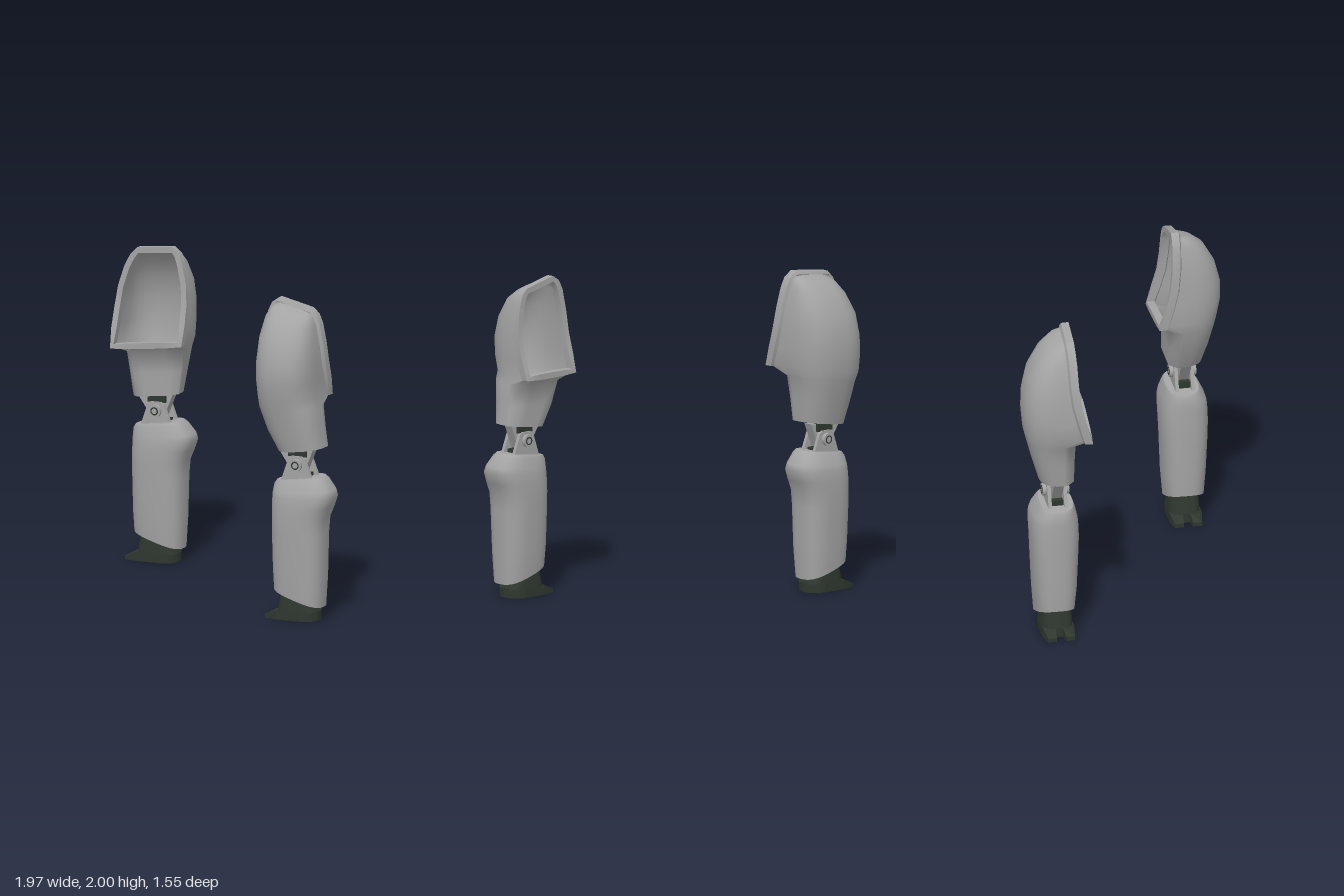
import * as THREE from 'three';
import { toCreasedNormals } from 'three/addons/utils/BufferGeometryUtils.js';

const armour = new THREE.MeshStandardMaterial({ color: 0xa4a4a4, side: THREE.DoubleSide });
armour.name = 'grey armour';
const dark = new THREE.MeshStandardMaterial({ color: 0x2f372f });
dark.name = 'dark green rubber';

function add(group, name, geometry, material, x = 0, y = 0, z = 0) {
  const mesh = new THREE.Mesh(geometry, material);
  mesh.name = name;
  mesh.position.set(x, y, z);
  group.add(mesh);
  return mesh;
}

// Skin closed rings of [x, y, z]; side = -1 mirrors in z, skip() leaves faces out.
function loft(rings, side, { skip = () => false, caps = true, closed = false } = {}) {
  const n = rings[0].length, pos = [], idx = [];
  const put = (p) => pos.push(p[0], p[1], p[2] * side) / 3 - 1;
  const tri = (a, b, c) => (side > 0 ? idx.push(a, b, c) : idx.push(a, c, b));
  rings.forEach((r) => r.forEach(put));
  const rows = closed ? rings.length : rings.length - 1;
  for (let j = 0; j < rows; j++) {
    const k = (j + 1) % rings.length;
    for (let i = 0; i < n; i++) {
      if (skip(j, i)) continue;
      const i2 = (i + 1) % n;
      tri(j * n + i, k * n + i, j * n + i2);
      tri(k * n + i, k * n + i2, j * n + i2);
    }
  }
  if (caps) {
    [rings[0], rings[rings.length - 1]].forEach((ring, end) => {
      const mid = [0, 1, 2].map((a) => ring.reduce((s, p) => s + p[a], 0) / n);
      const c = put(mid), ids = ring.map(put);
      ids.forEach((id, i) => {
        const next = ids[(i + 1) % n];
        if (end) tri(c, next, id); else tri(c, id, next);
      });
    });
  }
  const g = new THREE.BufferGeometry();
  g.setAttribute('position', new THREE.Float32BufferAttribute(pos, 3));
  g.setIndex(idx);
  g.computeVertexNormals();
  return g;
}

const spow = (v, e) => Math.sign(v) * Math.abs(v) ** e;

// Thigh: rows of [y, x0, x1, zInner, zOuter, slope]; open on the inner side above the lip.
function thigh(group, rows, side, skew) {
  const LIP = 3;
  const rings = rows.map(([y, x0, x1, zi, zo, slope], j) => {
    const cx = (x0 + x1) / 2, hx = (x1 - x0) / 2, zm = zi + (zo - zi) * 0.35;
    const c = j < LIP ? 0.045 : 0.001, pts = [];
    for (let i = 0; i <= 16; i++) {
      const t = (i / 16) * Math.PI;
      pts.push([cx + hx * spow(Math.cos(t), 0.8), zm + (zo - zm) * spow(Math.sin(t), 0.8)]);
    }
    pts.push([x0, (zm + zi + c) / 2], [x0, Math.min(zi + c, zm)]);
    for (let i = 0; i <= 4; i++) pts.push([x0 + c + ((x1 - x0 - 2 * c) * i) / 4, zi]);
    pts.push([x1, Math.min(zi + c, zm)], [x1, (zm + zi + c) / 2]);
    return pts.map(([x, z]) => [x, y + slope * (x - cx), z + skew * (x - cx)]);
  });
  add(group, 'thighShell', loft(rings, side, { skip: (j, i) => j >= LIP && i >= 18 && i < 24 }), armour);

  // Raised rim around the opening
  const upper = rings.slice(LIP);
  const path = [
    ...upper.map((r) => r[18]),
    ...upper.map((r) => r[24]).reverse(),
    rings[LIP][22], rings[LIP][21], rings[LIP][20],
  ];
  const mx = path.reduce((s, p) => s + p[0], 0) / path.length;
  const profile = [[0, 0.055], [0.02, 0.045], [0.022, -0.004], [-0.014, -0.004], [-0.014, 0.045]];
  const rim = path.map((p, i) => {
    // outward direction is square to the path
    const a = path[(i + path.length - 1) % path.length], b = path[(i + 1) % path.length];
    let ox = -(b[1] - a[1]), oy = b[0] - a[0];
    const l = Math.hypot(ox, oy) || 1;
    ox /= l; oy /= l;
    return profile.map(([o, dz]) => [p[0] + ox * o, p[1] + oy * o, p[2] + dz]);
  });
  const g = loft(rim, side, { caps: false, closed: true });
  add(group, 'thighRim', toCreasedNormals(g, 0.6), armour);
}

// Shin: rows of [y, x0, x1, z0, z1, slope], with the knee swelling toward +x
const shinRows = [
  [0.138, 0.587, 0.905, 0.447, 0.687, -0.32],
  [0.3, 0.581, 0.915, 0.432, 0.7, -0.12],
  [0.55, 0.577, 0.92, 0.422, 0.712, 0],
  [0.65, 0.577, 0.928, 0.418, 0.715, 0],
  [0.72, 0.577, 0.958, 0.418, 0.715, 0],
  [0.78, 0.578, 0.982, 0.422, 0.711, 0.03],
  [0.815, 0.579, 0.972, 0.43, 0.7, 0.06],
  [0.87, 0.584, 0.925, 0.445, 0.672, 0.13],
  [0.89, 0.597, 0.9, 0.455, 0.657, 0.14],
];
function shin(group, side, dx, sy) {
  const rings = shinRows.map(([y, x0, x1, z0, z1, slope]) => {
    const cx = (x0 + x1) / 2, cz = (z0 + z1) / 2;
    return Array.from({ length: 36 }, (_, i) => {
      const t = (i / 36) * Math.PI * 2;
      const x = cx + ((x1 - x0) / 2) * spow(Math.cos(t), 0.75);
      return [x + dx, (y + slope * (x - cx)) * sy, cz + ((z1 - z0) / 2) * spow(Math.sin(t), 0.75)];
    });
  });
  add(group, 'shinShell', loft(rings, side), armour);
}

// Flat plate from [x, y] corners, centred in z
function plate(points, depth) {
  const shape = new THREE.Shape(points.map(([x, y]) => new THREE.Vector2(x, y)));
  return new THREE.ExtrudeGeometry(shape, { depth, bevelEnabled: false }).translate(0, 0, -depth / 2);
}

function knee(group, side, x, y) {
  const joint = new THREE.Group();
  joint.name = 'kneeJoint';
  joint.position.set(x, y, 0.56 * side);
  group.add(joint);
  const lower = plate([[-0.11, -0.12], [0.11, -0.1], [0.055, 0.04], [0.035, 0.055], [-0.035, 0.055], [-0.055, 0.04]], 0.022);
  for (const s of [-1, 1]) {
    add(joint, 'lowerBracket', lower, armour, 0, 0, s * 0.05);
    const bolt = add(joint, 'bolt', new THREE.CylinderGeometry(0.04, 0.04, 0.022, 16), armour, 0, 0, s * 0.072);
    bolt.rotation.x = Math.PI / 2;
    add(joint, 'boltRing', new THREE.TorusGeometry(0.022, 0.004, 6, 16), dark, 0, 0, s * 0.083);
  }
  add(joint, 'upperTongue', plate([[-0.04, -0.05], [0.04, -0.05], [0.1, 0.1], [-0.13, 0.08]], 0.064), armour);
  add(joint, 'upperBushing', new THREE.BoxGeometry(0.12, 0.05, 0.1), dark, 0, 0.075, 0);
  add(joint, 'lowerBushing', new THREE.BoxGeometry(0.14, 0.04, 0.076), dark, 0, -0.075, 0);
}

function foot(group, side, x) {
  const base = new THREE.Group();
  base.name = 'foot';
  base.position.set(x, 0, 0.56 * side);
  group.add(base);
  // Sole with a rounded toe and a forked heel
  const s = new THREE.Shape();
  s.moveTo(-0.165, -0.085);
  s.lineTo(-0.08, -0.1);
  s.lineTo(0.08, -0.1);
  s.quadraticCurveTo(0.165, -0.085, 0.165, 0);
  s.quadraticCurveTo(0.165, 0.085, 0.08, 0.1);
  s.lineTo(-0.08, 0.1);
  s.lineTo(-0.165, 0.085);
  s.lineTo(-0.165, 0.03);
  s.lineTo(-0.1, 0.022);
  s.lineTo(-0.1, -0.022);
  s.lineTo(-0.165, -0.03);
  const sole = new THREE.ExtrudeGeometry(s, { depth: 0.06, bevelEnabled: false, curveSegments: 6 });
  sole.rotateX(-Math.PI / 2);
  // lower the heel prongs at their tips
  const p = sole.attributes.position;
  for (let i = 0; i < p.count; i++) if (p.getX(i) < -0.15 && p.getY(i) > 0.03) p.setY(i, 0.025);
  sole.computeVertexNormals();
  add(base, 'sole', sole, dark);
  // Ankle narrowing upward into the shin
  const ring = (y, x0, x1, h) => Array.from({ length: 24 }, (_, i) => {
    const t = (i / 24) * Math.PI * 2;
    return [(x0 + x1) / 2 + ((x1 - x0) / 2) * spow(Math.cos(t), 0.6), y, h * spow(Math.sin(t), 0.6)];
  });
  add(base, 'ankle', loft([ring(0.055, -0.1, 0.163, 0.098), ring(0.1, -0.09, 0.14, 0.096), ring(0.2, -0.07, 0.09, 0.085)], 1), dark);
}

const rightThigh = [
  [1.05, -0.885, -0.57, 0.455, 0.67, 0.13], [1.2, -0.91, -0.55, 0.455, 0.715, 0.13],
  [1.33, -0.93, -0.53, 0.45, 0.75, 0.13], [1.39, -0.968, -0.498, 0.358, 0.765, 0.13],
  [1.5, -0.968, -0.498, 0.395, 0.775, 0.13], [1.62, -0.962, -0.5, 0.427, 0.77, 0.13],
  [1.75, -0.945, -0.512, 0.445, 0.74, 0.13], [1.87, -0.905, -0.54, 0.45, 0.67, 0.13],
  [1.935, -0.868, -0.562, 0.455, 0.595, 0.12], [1.968, -0.835, -0.595, 0.458, 0.51, 0.11],
];
const leftThigh = [
  [1.07, 0.61, 0.905, 0.455, 0.68, 0.12], [1.2, 0.54, 0.885, 0.45, 0.71, 0.08],
  [1.34, 0.49, 0.87, 0.445, 0.74, 0.03], [1.4, 0.475, 0.855, 0.362, 0.755, 0],
  [1.5, 0.475, 0.857, 0.397, 0.775, 0], [1.62, 0.48, 0.855, 0.43, 0.775, -0.05],
  [1.75, 0.49, 0.845, 0.445, 0.74, -0.1], [1.87, 0.515, 0.825, 0.45, 0.67, -0.18],
  [1.92, 0.54, 0.805, 0.452, 0.6, -0.21], [1.945, 0.565, 0.78, 0.455, 0.51, -0.23],
];

export function createModel() {
  const model = new THREE.Group();
  model.name = 'legs';
  const legs = [
    { name: 'rightLeg', side: -1, rows: rightThigh, skew: -0.08, dx: -1.475, sy: 0.98, knee: [-0.73, 0.95], foot: -0.76 },
    { name: 'leftLeg', side: 1, rows: leftThigh, skew: 0, dx: 0, sy: 1, knee: [0.745, 0.976], foot: 0.71 },
  ];
  for (const l of legs) {
    const leg = new THREE.Group();
    leg.name = l.name;
    thigh(leg, l.rows, l.side, l.skew);
    knee(leg, l.side, ...l.knee);
    shin(leg, l.side, l.dx, l.sy);
    foot(leg, l.side, l.foot);
    model.add(leg);
  }
  return model;
}
